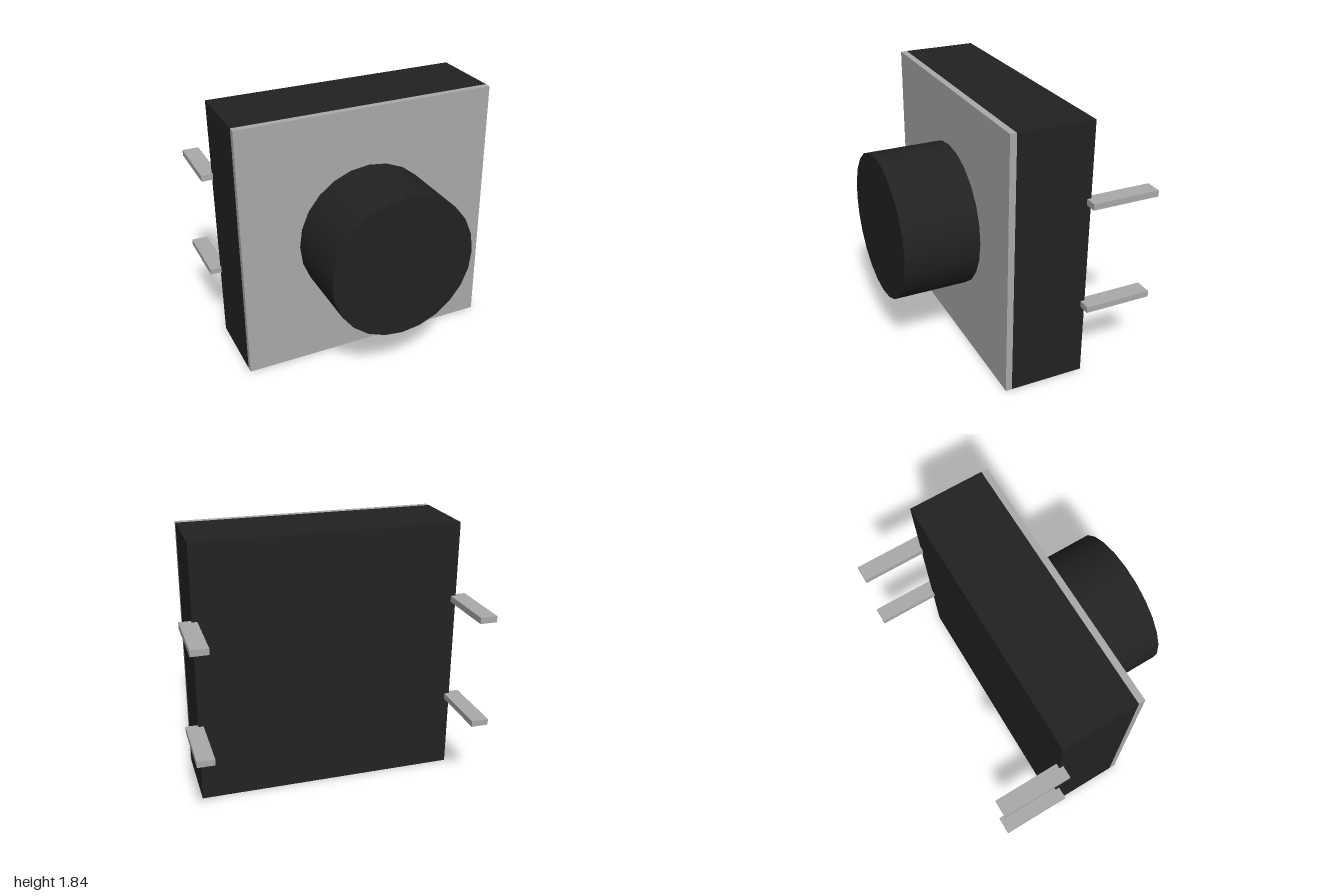
import * as THREE from 'three';

export function createModel() {
  const model = new THREE.Group();
  model.name = 'pushButtonSwitch';

  const plastic = new THREE.MeshStandardMaterial({ color: 0x222222 });
  plastic.name = 'black plastic';
  const metal = new THREE.MeshStandardMaterial({ color: 0xaaaaaa });
  metal.name = 'grey metal';

  const add = (name, geometry, material, x, y, z) => {
    const mesh = new THREE.Mesh(geometry, material);
    mesh.name = name;
    mesh.position.set(x, y, z);
    model.add(mesh);
  };

  const side = 1.835;
  const midY = side / 2;

  // Square housing with a thin cover plate on its front
  add('housing', new THREE.BoxGeometry(side, side, 0.526), plastic, 0, midY, -0.062);
  add('coverPlate', new THREE.BoxGeometry(side, side, 0.045), metal, 0, midY, 0.2235);

  // Round plunger pointing forward
  const plunger = new THREE.CylinderGeometry(0.51, 0.51, 0.527, 24).rotateX(Math.PI / 2);
  add('plunger', plunger, plastic, 0, midY, 0.5095);

  // Four flat pins, two on each side, reaching backward
  const pin = new THREE.BoxGeometry(0.118, 0.043, 0.478);
  for (const [sideName, sx] of [['left', 1], ['right', -1]]) {
    for (const [level, sy] of [['Upper', 1], ['Lower', -1]]) {
      add(`${sideName}${level}Pin`, pin, metal, sx * 0.941, midY + sy * 0.376, -0.535);
    }
  }
  return model;
}
